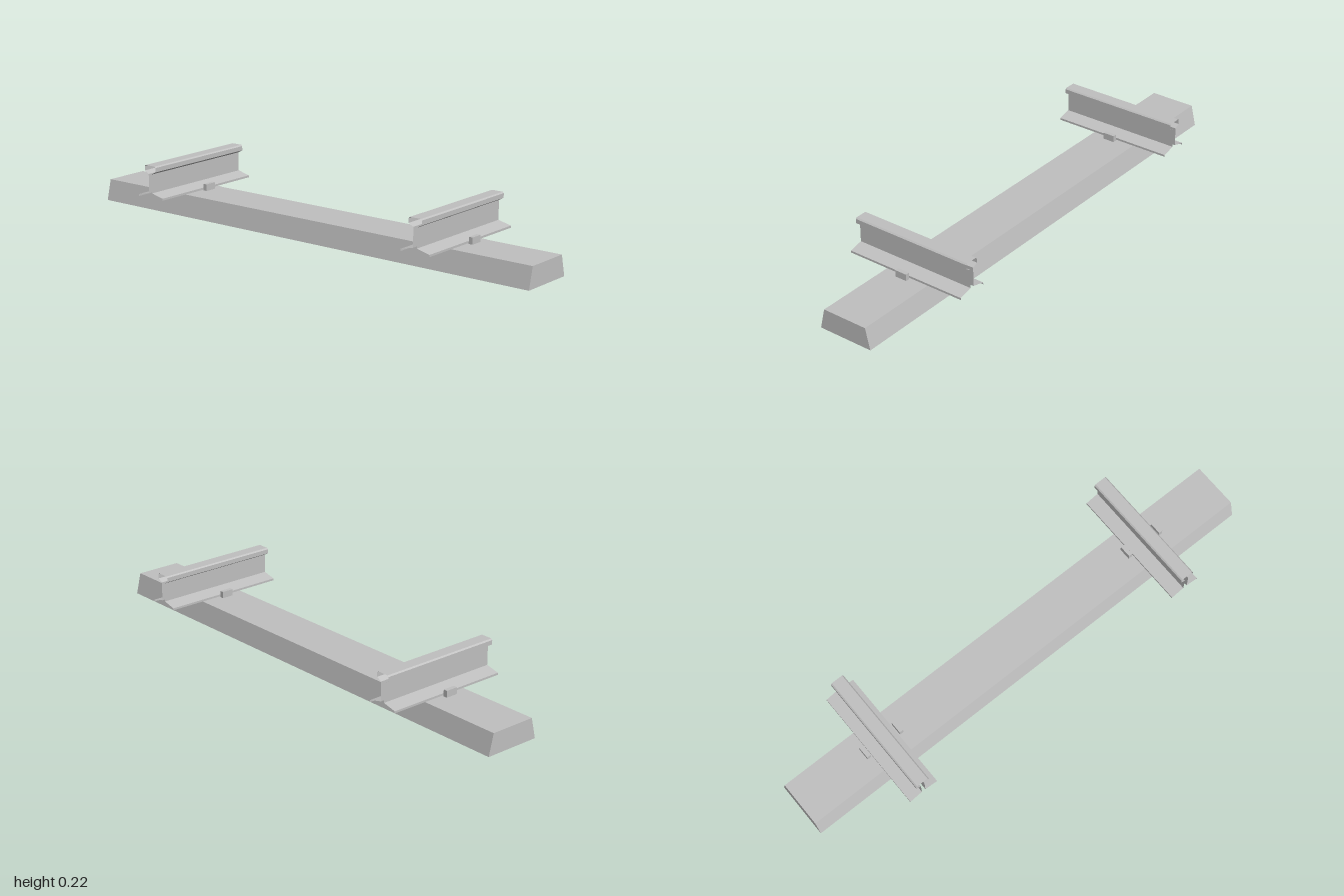
import * as THREE from 'three';

const steel = new THREE.MeshStandardMaterial({ color: 0xc0c0c0, side: THREE.DoubleSide });
steel.name = 'grey';

// Open skin: sweeps an xy profile (left to right) along z, without caps
function sweep(profile, length) {
  const h = length / 2;
  const positions = [];
  for (let i = 0; i < profile.length - 1; i++) {
    const [ax, ay] = profile[i];
    const [bx, by] = profile[i + 1];
    positions.push(ax, ay, h, bx, by, h, bx, by, -h);
    positions.push(ax, ay, h, bx, by, -h, ax, ay, -h);
  }
  const geometry = new THREE.BufferGeometry();
  geometry.setAttribute('position', new THREE.Float32BufferAttribute(positions, 3));
  geometry.computeVertexNormals();
  return geometry;
}

function addMesh(parent, name, geometry, x = 0, y = 0, z = 0) {
  const mesh = new THREE.Mesh(geometry, steel);
  mesh.name = name;
  mesh.position.set(x, y, z);
  parent.add(mesh);
  return mesh;
}

// Hollow sleeper: sloped long sides, vertical ends, open underneath
function createSleeper() {
  const sleeper = new THREE.Group();
  sleeper.name = 'sleeper';
  const section = [[-0.112, 0], [-0.092, 0.082], [0.092, 0.082], [0.112, 0]];
  addMesh(sleeper, 'sleeperShell', sweep(section, 2)).rotation.y = Math.PI / 2;
  const endShape = new THREE.Shape(section.map(([x, y]) => new THREE.Vector2(x, y)));
  for (const side of [-1, 1]) {
    const end = addMesh(sleeper, 'sleeperEnd', new THREE.ShapeGeometry(endShape), side);
    end.rotation.y = side * Math.PI / 2;
  }
  return sleeper;
}

// Rail with its base plate and two clips
function createRailSeat(x) {
  const seat = new THREE.Group();
  seat.name = 'railSeat';
  seat.position.x = x;

  // Foot, web and head of the right half, mirrored for the left
  const half = [
    [0.0615, 0.092], [0.0615, 0.1], [0.008, 0.113], [0.008, 0.187],
    [0.028, 0.198], [0.028, 0.215], [0.023, 0.22],
  ];
  const profile = [...half.map(([px, py]) => [-px, py]), ...half.slice().reverse()];
  addMesh(seat, 'rail', sweep(profile, 0.5));

  const plate = new THREE.PlaneGeometry(0.166, 0.136).rotateX(-Math.PI / 2);
  addMesh(seat, 'basePlate', plate, 0, 0.091, 0);
  for (const side of [-1, 1]) {
    addMesh(seat, 'clip', new THREE.BoxGeometry(0.016, 0.026, 0.048), side * 0.075, 0.104, 0);
  }
  return seat;
}

export function createModel() {
  const model = new THREE.Group();
  model.name = 'trackSection';
  model.add(createSleeper());
  for (const side of [-1, 1]) model.add(createRailSeat(side * 0.625));
  return model;
}
